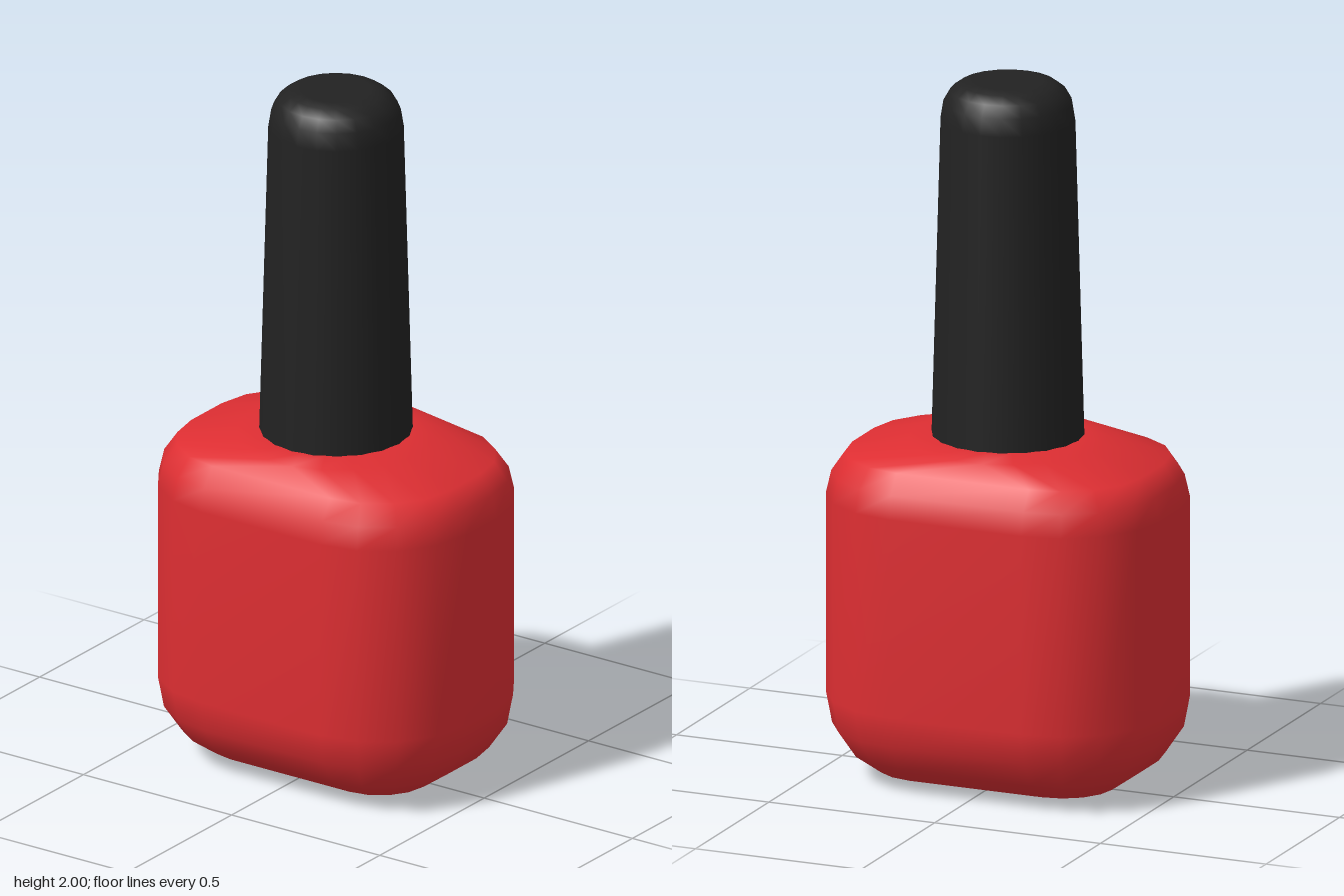
import * as THREE from 'three';

const SIDES = 20;

// Rounded-rectangle cross-section: five points per corner
function section(y, hx, hz, r) {
  const points = [];
  for (let q = 0; q < 4; q++) {
    const sx = q === 0 || q === 3 ? 1 : -1;
    const sz = q < 2 ? 1 : -1;
    for (let k = 0; k < 5; k++) {
      const a = (q + k / 4) * Math.PI / 2;
      points.push([sx * (hx - r) + r * Math.cos(a), y, sz * (hz - r) + r * Math.sin(a)]);
    }
  }
  return points;
}

// Circular cross-section with matching point count
function circle(y, r) {
  return Array.from({ length: SIDES }, (_, i) => {
    const a = (i + 0.5) / SIDES * Math.PI * 2;
    return [r * Math.cos(a), y, r * Math.sin(a)];
  });
}

// Skin the rings from bottom to top and close both ends
function loft(rings) {
  const positions = rings.flat(2);
  const index = [];
  const n = SIDES;
  for (let i = 0; i < rings.length - 1; i++) {
    for (let j = 0; j < n; j++) {
      const k = (j + 1) % n;
      const a = i * n + j, b = i * n + k, c = a + n, d = b + n;
      index.push(a, c, b, b, c, d);
    }
  }
  const bottom = rings.length * n;
  const top = bottom + 1;
  const last = bottom - n;
  positions.push(0, rings[0][0][1], 0, 0, rings[rings.length - 1][0][1], 0);
  for (let j = 0; j < n; j++) {
    const k = (j + 1) % n;
    index.push(bottom, j, k, top, last + k, last + j);
  }
  const geometry = new THREE.BufferGeometry();
  geometry.setAttribute('position', new THREE.Float32BufferAttribute(positions, 3));
  geometry.setIndex(index);
  geometry.computeVertexNormals();
  return geometry;
}

export function createModel() {
  const group = new THREE.Group();
  group.name = 'nailPolishBottle';

  // Bottle: rounded block whose shoulders flow into a round neck
  const levels = [
    [0, 0.24], [0.022, 0.143], [0.075, 0.068], [0.15, 0.017], [0.24, 0],
    [0.81, 0], [0.875, 0.015], [0.93, 0.053],
  ];
  const rings = levels.map(([y, inset]) =>
    section(y, 0.49 - inset, 0.363 - inset, 0.29 - inset));
  rings.push(circle(0.975, 0.275), circle(0.99, 0.21));
  const bottle = new THREE.Mesh(loft(rings), new THREE.MeshStandardMaterial({ color: 0xdd2e32 }));
  bottle.name = 'bottle';
  group.add(bottle);

  // Cap: tapered handle with a rounded top
  const profile = [
    [0.212, 0.985], [0.187, 1.89], [0.179, 1.94], [0.16, 1.973], [0.132, 1.993], [0.1, 2], [0, 2],
  ].map(([x, y]) => new THREE.Vector2(x, y));
  const cap = new THREE.Mesh(
    new THREE.LatheGeometry(profile, SIDES),
    new THREE.MeshStandardMaterial({ color: 0x222222 }));
  cap.name = 'cap';
  group.add(cap);

  return group;
}
